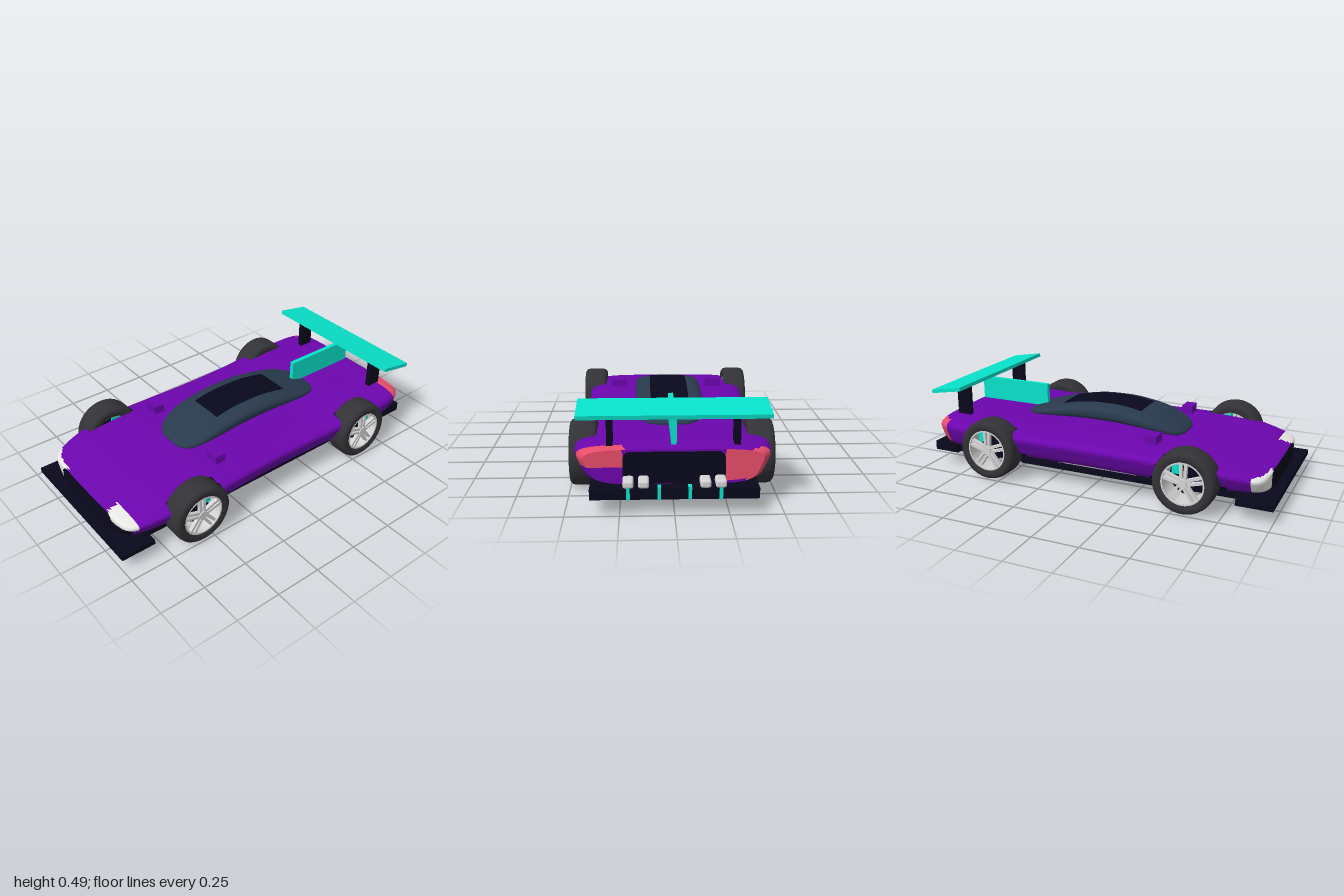
import * as THREE from 'three';
import { toCreasedNormals } from 'three/addons/utils/BufferGeometryUtils.js';
import { RoundedBoxGeometry } from 'three/addons/geometries/RoundedBoxGeometry.js';

const mat = (name, color) => Object.assign(new THREE.MeshStandardMaterial({ color }), { name });

// Smooth interpolation through rows [z, a, b, c] sorted by falling z
function sampleRows(rows, z) {
  let i = 0;
  while (i < rows.length - 2 && z < rows[i + 1][0]) i++;
  const p = rows[i], q = rows[i + 1], o = rows[i - 1] || p, r = rows[i + 2] || q;
  const d = q[0] - p[0], t = (z - p[0]) / d;
  return [1, 2, 3].map(k => {
    const m0 = (q[k] - o[k]) / (q[0] - o[0]) * d, m1 = (r[k] - p[k]) / (r[0] - p[0]) * d;
    const t2 = t * t, t3 = t2 * t;
    return (2 * t3 - 3 * t2 + 1) * p[k] + (t3 - 2 * t2 + t) * m0 + (3 * t2 - 2 * t3) * q[k] + (t3 - t2) * m1;
  });
}

// Closed loft of superellipse sections; rows are [z, halfWidth, bottom, top].
// paint(x, y, z, inArch) gives the material index, clamp(x, y, z) cuts the arches.
function loft(rows, { n, taper = 0, sides, steps, paint = () => 0, clamp = x => x }) {
  const pos = [], cut = [], lists = [];
  const add = (x, y, z) => {
    const cx = clamp(x, y, z);
    pos.push(cx, y, z);
    cut.push(cx !== x);
    return cut.length - 1;
  };
  const quad = (a, b, c, d) => {
    const mid = [0, 1, 2].map(k => (pos[a * 3 + k] + pos[b * 3 + k] + pos[c * 3 + k] + pos[d * 3 + k]) / 4);
    const m = paint(...mid, (cut[a] && cut[d]) || (cut[b] && cut[c]));
    (lists[m] ||= []).push(a, b, c, a, c, d);
  };
  const z0 = rows[0][0], z1 = rows[rows.length - 1][0];
  for (let j = 0; j <= steps; j++) {
    const z = z0 + (z1 - z0) * j / steps, [w, yb, yt] = sampleRows(rows, z);
    for (let i = 0; i < sides; i++) {
      const f = i / sides * Math.PI * 2, c = Math.cos(f), s = Math.sin(f);
      const r = 1 / (Math.abs(c) ** n + Math.abs(s) ** n) ** (1 / n);
      const v = (r * s + 1) / 2;
      add(w * r * c * (1 - taper * (1 - v)), yb + (yt - yb) * v, z);
    }
  }
  for (let j = 0; j < steps; j++) for (let i = 0; i < sides; i++) {
    const a = j * sides + i, b = j * sides + (i + 1) % sides;
    quad(a, a + sides, b + sides, b);
  }
  // End caps as vertical strips
  const K = 12;
  for (const end of [0, steps]) {
    const cols = [];
    for (let i = 0; i <= sides / 2; i++) {
      const t = (end * sides + i) * 3, u = (end * sides + (sides - i) % sides) * 3;
      cols.push(Array.from({ length: K + 1 }, (_, k) =>
        add(...[0, 1, 2].map(m => pos[t + m] + (pos[u + m] - pos[t + m]) * k / K))));
    }
    for (let i = 0; i < sides / 2; i++) for (let k = 0; k < K; k++) {
      const [a, b, c, d] = [cols[i][k], cols[i + 1][k], cols[i + 1][k + 1], cols[i][k + 1]];
      end === 0 ? quad(a, b, c, d) : quad(d, c, b, a);
    }
  }
  const g = new THREE.BufferGeometry();
  g.setAttribute('position', new THREE.Float32BufferAttribute(pos, 3));
  const index = [];
  lists.forEach((l, m) => {
    g.addGroup(index.length, l.length, m);
    for (const v of l) index.push(v);
  });
  g.setIndex(index);
  return toCreasedNormals(g, 0.7);
}

// Thin rounded plate in the xy plane
function plate(w, h, r) {
  const s = new THREE.Shape(), x = w / 2, y = h / 2;
  s.absarc(x - r, y - r, r, 0, Math.PI / 2);
  s.absarc(-x + r, y - r, r, Math.PI / 2, Math.PI);
  s.absarc(-x + r, -y + r, r, Math.PI, Math.PI * 1.5);
  s.absarc(x - r, -y + r, r, Math.PI * 1.5, Math.PI * 2);
  return new THREE.ExtrudeGeometry(s, { depth: 0.008, bevelEnabled: false });
}

export function createModel() {
  const car = new THREE.Group();
  car.name = 'raceCar';
  const purple = mat('purplePaint', 0x6c06ae), black = mat('blackTrim', 0x08081c), teal = mat('tealAccent', 0x08e2ca);
  const glass = mat('canopyGlass', 0x293a4d), rubber = mat('tyreRubber', 0x333337), silver = mat('silverMetal', 0xd4d4d4);
  const lamp = mat('headlightWhite', 0xe6e6e4), red = mat('tailLightRed', 0xea4e6c);

  const put = (name, geo, m, x = 0, y = 0, z = 0, parent = car) => {
    const mesh = new THREE.Mesh(geo, m);
    mesh.name = name;
    mesh.position.set(x, y, z);
    parent.add(mesh);
    return mesh;
  };
  const box = (name, m, w, h, d, x, y, z) => put(name, new THREE.BoxGeometry(w, h, d), m, x, y, z);

  const R = 0.165, axles = [0.56, -0.57];
  const axleDistance = (y, z) => Math.min(...axles.map(a => Math.hypot(z - a, y - R)));

  // Body shell with wheel arches and painted lights
  const bodyRows = [
    [0.945, 0.295, 0.105, 0.201], [0.935, 0.35, 0.103, 0.205], [0.915, 0.39, 0.102, 0.21], [0.88, 0.415, 0.1, 0.217],
    [0.8, 0.443, 0.1, 0.236], [0.7, 0.465, 0.1, 0.254], [0.5, 0.482, 0.1, 0.268], [0.3, 0.476, 0.1, 0.272],
    [0, 0.468, 0.1, 0.273], [-0.3, 0.474, 0.1, 0.276], [-0.5, 0.486, 0.1, 0.285], [-0.75, 0.488, 0.1, 0.291],
    [-0.87, 0.47, 0.11, 0.293], [-0.92, 0.435, 0.12, 0.288]];
  const paint = (x, y, z, inArch) => {
    const ax = Math.abs(x);
    if (inArch || (ax > 0.3 && y < 0.15 && axleDistance(y, z) < 0.2)) return 1;
    if (z > 0.875 && ax > 0.2 && y > 0.106) {
      if (x > 0) return y > 0.174 ? 2 : z > 0.9 ? 1 : 0;
      if (y < 0.205) return 2;
    }
    if (z < -0.855 && ax > 0.23) {
      if (x > 0 ? y > 0.205 : y > 0.14 && y < 0.28) return 3;
    }
    return 0;
  };
  const clamp = (x, y, z) => axleDistance(y, z) < 0.164 ? Math.sign(x) * Math.min(Math.abs(x), 0.368) : x;
  put('body', loft(bodyRows, { n: 4.6, taper: 0.17, sides: 160, steps: 210, paint, clamp }), [purple, black, lamp, red]);

  // Nose grille and rear panel
  put('frontGrille', plate(0.48, 0.1, 0.03), black, 0, 0.151, 0.942);
  put('rearPanel', plate(0.47, 0.15, 0.035), black, 0, 0.203, -0.925);

  // Canopy and the panel that follows its roof
  const canopyRows = [
    [0.42, 0.06, 0.264, 0.28], [0.4, 0.112, 0.264, 0.294], [0.35, 0.15, 0.27, 0.32], [0.25, 0.174, 0.283, 0.36],
    [0.1, 0.178, 0.294, 0.391], [0, 0.178, 0.297, 0.398], [-0.15, 0.177, 0.297, 0.392], [-0.34, 0.174, 0.291, 0.353],
    [-0.45, 0.155, 0.285, 0.322], [-0.51, 0.115, 0.283, 0.303], [-0.53, 0.065, 0.283, 0.295]];
  put('canopy', loft(canopyRows, { n: 3, sides: 64, steps: 90 }), [glass]);
  const roof = new THREE.PlaneGeometry(0.2, 0.48, 12, 28).rotateX(-Math.PI / 2).translate(0, 0, -0.06);
  const rp = roof.attributes.position;
  for (let i = 0; i < rp.count; i++) {
    const [w, b, t] = sampleRows(canopyRows, rp.getZ(i));
    rp.setY(i, (b + t) / 2 + (t - b) / 2 * (1 - Math.abs(rp.getX(i) / w) ** 3) ** (1 / 3) + 0.002);
  }
  roof.computeVertexNormals();
  put('roofPanel', roof, black);

  // Floor with one scooped edge, side skirt, splitter and diffuser
  const plan = new THREE.Shape();
  plan.moveTo(0.365, 0.86);
  plan.lineTo(0.365, -0.88);
  plan.lineTo(-0.365, -0.88);
  plan.lineTo(-0.365, -0.45);
  plan.quadraticCurveTo(-0.16, 0, -0.365, 0.45);
  plan.lineTo(-0.365, 0.86);
  put('floor', new THREE.ExtrudeGeometry(plan, { depth: 0.026, bevelEnabled: false, curveSegments: 20 })
    .rotateX(Math.PI / 2).translate(0, 0.106, 0), black);
  box('sideSkirt', black, 0.03, 0.026, 0.84, -0.365, 0.093, 0);
  box('splitter', black, 0.85, 0.028, 0.19, 0, 0.085, 0.905);
  box('diffuser', black, 0.77, 0.05, 0.15, 0, 0.1, -0.915);
  for (const x of [-0.21, -0.07, 0.07, 0.21]) box('diffuserStrake', teal, 0.016, 0.06, 0.04, x, 0.104, -0.974);
  for (const x of [-0.21, -0.14, 0.14, 0.21])
    put('exhaust', new RoundedBoxGeometry(0.05, 0.038, 0.085, 3, 0.012), silver, x, 0.147, -0.956);

  // Fin and rear wing
  box('fin', teal, 0.025, 0.13, 0.44, 0, 0.366, -0.67);
  box('wing', teal, 0.885, 0.02, 0.19, 0, 0.461, -0.85).rotation.x = -0.17;
  for (const s of [-1, 1]) {
    box('wingSupport', black, 0.028, 0.17, 0.08, s * 0.295, 0.37, -0.83);
    box('mirror', purple, 0.086, 0.045, 0.06, s * 0.283, 0.303, 0.325);
  }

  // Wheels: rounded tyre, rim and five paired spokes
  const tyre = new THREE.LatheGeometry([
    [0.112, -0.06], [0.13, -0.067], [0.15, -0.066], [0.161, -0.057], [0.165, -0.04], [0.165, 0.04], [0.161, 0.057],
    [0.15, 0.066], [0.13, 0.067], [0.112, 0.06], [0.112, -0.06]].map(p => new THREE.Vector2(...p)), 48).rotateZ(-Math.PI / 2);
  const rim = new THREE.LatheGeometry([
    [0.106, -0.055], [0.114, -0.06], [0.114, 0.062], [0.106, 0.062], [0.106, -0.055]]
    .map(p => new THREE.Vector2(...p)), 40).rotateZ(-Math.PI / 2);
  const tyreGeo = toCreasedNormals(tyre, 0.7), rimGeo = toCreasedNormals(rim, 0.7);
  const hub = new THREE.CylinderGeometry(0.024, 0.028, 0.03, 20).rotateZ(-Math.PI / 2);
  const disc = new THREE.CylinderGeometry(0.07, 0.07, 0.012, 32).rotateZ(-Math.PI / 2);
  const spoke = new THREE.BoxGeometry(0.02, 0.096, 0.015);
  for (const z of axles) for (const s of [-1, 1]) {
    const wheel = new THREE.Group();
    wheel.name = 'wheel';
    wheel.position.set(s * 0.432, R, z);
    wheel.rotation.y = s > 0 ? 0 : Math.PI;
    car.add(wheel);
    put('tyre', tyreGeo, rubber, 0, 0, 0, wheel);
    put('rim', rimGeo, silver, 0, 0, 0, wheel);
    put('hub', hub, silver, 0.045, 0, 0, wheel);
    put('brakeDisc', disc, black, 0, 0, 0, wheel);
    for (let i = 0; i < 5; i++) {
      const pair = new THREE.Group();
      pair.name = 'spokePair';
      pair.rotation.x = i * Math.PI * 0.4;
      wheel.add(pair);
      for (const d of [-1, 1]) put('spoke', spoke, silver, 0.045, 0.062, d * 0.012, pair).rotation.x = d * 0.04;
    }
    box('caliper', teal, 0.04, 0.055, 0.05, s * 0.437, 0.228, z - 0.045);
  }
  return car;
}
